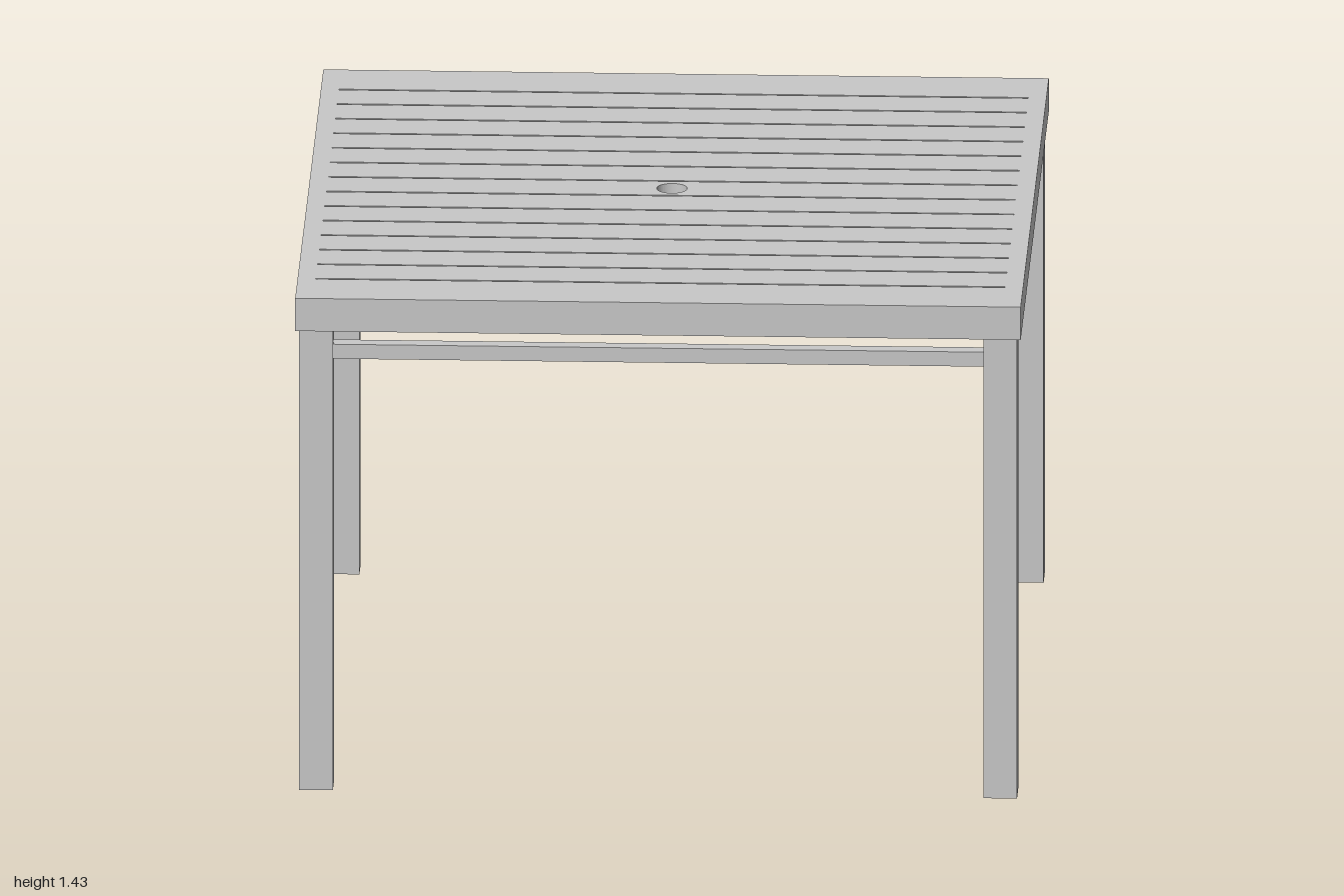
import * as THREE from 'three';

export function createModel() {
  const table = new THREE.Group();
  table.name = 'slattedTable';
  const metal = new THREE.MeshStandardMaterial({ color: 0xc8c8c8, side: THREE.DoubleSide });
  metal.name = 'light grey metal';

  function add(name, geometry, x = 0, y = 0, z = 0) {
    const mesh = new THREE.Mesh(geometry, metal);
    mesh.name = name;
    mesh.position.set(x, y, z);
    table.add(mesh);
    return mesh;
  }
  const box = (name, w, h, d, x, y, z) => add(name, new THREE.BoxGeometry(w, h, d), x, y, z);

  // Rectangle with an optional hole, laid flat and extruded upwards
  function rect(w, d) {
    return new THREE.Shape([[-w, -d], [w, -d], [w, d], [-w, d]].map(([x, y]) => new THREE.Vector2(x / 2, y / 2)));
  }
  function flat(shape, hole, height) {
    shape.holes.push(hole);
    const geometry = new THREE.ExtrudeGeometry(shape, { depth: height, bevelEnabled: false, curveSegments: 24 });
    return geometry.rotateX(-Math.PI / 2);
  }

  const top = 1.43, slatH = 0.03, supportH = 0.035;
  const slatBottom = top - slatH;

  // Outer frame
  add('topFrame', flat(rect(2, 2), rect(1.9, 1.9), 0.095), 0, 1.335, 0);

  // Slats, the middle one pierced for a pole
  const pitch = 0.1272, slatW = 0.12, holeR = 0.042;
  for (let i = -7; i <= 7; i++) {
    if (i === 0) {
      const hole = new THREE.Path().absarc(0, 0, holeR, 0, Math.PI * 2);
      add('centreSlat', flat(rect(1.9, slatW), hole, slatH), 0, slatBottom, 0);
    } else {
      box('slat', 1.9, slatH, slatW, 0, top - slatH / 2, i * pitch);
    }
  }

  // Supports under the slats
  for (const side of [-1, 1]) {
    for (const x of [0.175, 0.61, 0.917]) {
      box('slatSupport', 0.066, supportH, 1.9, side * x, slatBottom - supportH / 2, 0);
    }
    // Short bars holding the collar
    box('collarBar', 0.1, 0.025, 0.04, side * 0.093, slatBottom - 0.0125, 0);
  }

  // Pole collar
  const collar = [[holeR, 1.305], [0.046, 1.305], [0.046, slatBottom], [holeR, slatBottom], [holeR, 1.305]];
  for (let i = 0; i < collar.length - 1; i++) {
    const edge = [collar[i], collar[i + 1]].map(([r, y]) => new THREE.Vector2(r, y));
    add('poleCollar', new THREE.LatheGeometry(edge, 32));
  }

  // Hollow legs, open at the foot
  const legW = 0.093, legX = 0.943, legH = 1.335;
  for (const sx of [-1, 1]) {
    for (const sz of [-1, 1]) {
      add('leg', flat(rect(legW, legW), rect(legW - 0.01, legW - 0.01), legH), sx * legX, 0, sz * legX);
    }
  }

  // Rails between the legs
  const railL = 2 * legX - legW;
  for (const s of [-1, 1]) {
    box('longRail', railL, 0.042, 0.042, 0, 1.265, s * legX);
    box('sideRail', 0.042, 0.042, railL, s * legX, 1.265, 0);
  }

  return table;
}
